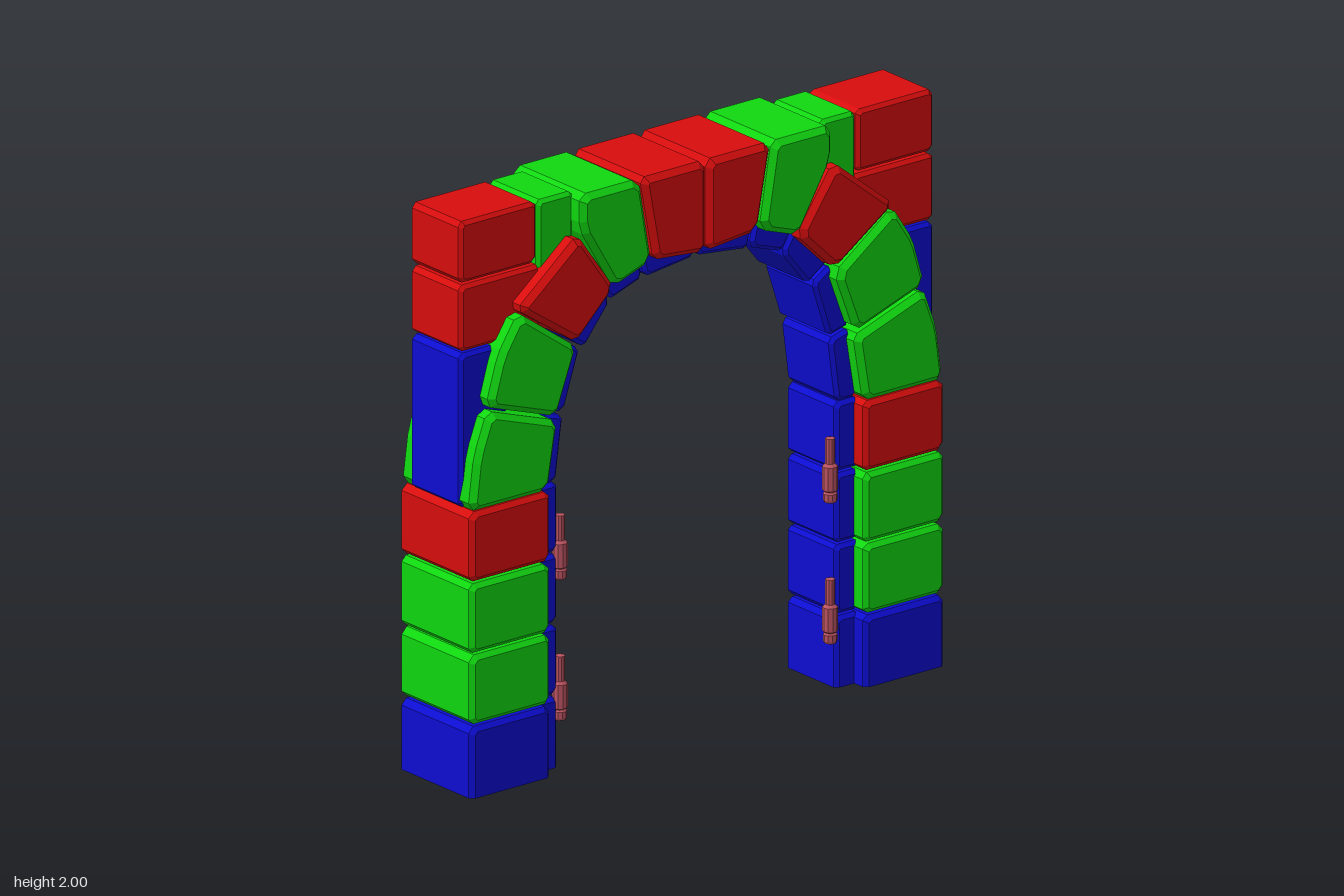
import * as THREE from 'three';

const mat = (name, color) => new THREE.MeshStandardMaterial({ name, color, flatShading: true });

export function createModel() {
  const red = mat('red stone', 0xd80d0d);
  const green = mat('green stone', 0x10d810);
  const blue = mat('blue stone', 0x0d0dd2);
  const pink = mat('pink metal', 0xbc5462);
  const arch = new THREE.Group();
  arch.name = 'stoneArch';

  let seed = 7;
  const rand = () => (seed = (seed * 16807) % 2147483647) / 2147483647;

  // Cut every corner of a [z, y] outline by a slightly uneven amount, like worn stone
  function wornOutline(points, cut) {
    const out = [];
    points.forEach(([z, y], i) => {
      const p = new THREE.Vector2(-z, y);
      const n = points.length;
      for (const j of [(i + n - 1) % n, (i + 1) % n]) {
        const d = new THREE.Vector2(-points[j][0], points[j][1]).sub(p);
        const step = Math.min(cut * (0.85 + 0.5 * rand()), d.length() * 0.35);
        out.push(p.clone().addScaledVector(d.normalize(), step));
      }
    });
    return new THREE.Shape(out);
  }

  // Bevelled stone: a [z, y] outline running across x from -half to +half
  function stone(name, points, half, material, bevel, side) {
    const outline = points.map(([z, y]) => [z * side, y]);
    const geo = new THREE.ExtrudeGeometry(wornOutline(outline, bevel * 1.1), {
      depth: 2 * (half - bevel), bevelEnabled: true, bevelSegments: 1,
      bevelSize: bevel, bevelThickness: bevel, bevelOffset: -bevel,
    });
    geo.translate(0, 0, -(half - bevel));
    geo.rotateY(Math.PI / 2);
    // The lowest stones are cut flat on the ground
    const pos = geo.attributes.position;
    for (let i = 0; i < pos.count; i++) pos.setY(i, Math.max(0, pos.getY(i)));
    geo.computeVertexNormals();
    const mesh = new THREE.Mesh(geo, material);
    mesh.name = name;
    arch.add(mesh);
  }

  const box = (z0, z1, y0, y1) => [[z0, y0], [z1, y0], [z1, y1], [z0, y1]];
  const WIDE = 0.19, NARROW = 0.132;

  // Courses of the straight piers: bottom, top, colour
  const courses = [
    [-0.05, 0.247, blue], [0.255, 0.497, green], [0.505, 0.747, green], [0.755, 0.998, red],
  ];

  // Wedge stones of the arch, from the springing to the crown
  const wedges = [
    [[[1, 1], [0.665, 1], [0.625, 1.235], [0.92, 1.335], [0.975, 1.19]], green],
    [[[0.925, 1.35], [0.63, 1.25], [0.545, 1.475], [0.79, 1.65], [0.875, 1.52]], green],
    [[[0.795, 1.66], [0.545, 1.49], [0.385, 1.645], [0.54, 1.865]], red],
    [[[0.53, 1.88], [0.39, 1.645], [0.228, 1.7], [0.28, 2], [0.53, 2]], green],
    [[[0.275, 2], [0.218, 1.7], [0.002, 1.68], [0.002, 2]], red],
  ];

  // Narrow lining stones under the arch
  const lining = [
    [[0.68, 1], [0.59, 1], [0.56, 1.225], [0.65, 1.25]],
    [[0.65, 1.26], [0.557, 1.235], [0.49, 1.44], [0.57, 1.49]],
    [[0.57, 1.51], [0.47, 1.44], [0.362, 1.575], [0.42, 1.67]],
    [[0.42, 1.68], [0.365, 1.58], [0.225, 1.627], [0.25, 1.73]],
    [[0.24, 1.73], [0.218, 1.625], [0.003, 1.65], [0.003, 1.73]],
  ];

  // Narrow stones filling the square corner
  const fillers = [
    ['cornerPost', [[1, 1], [0.82, 1], [0.78, 1.538], [1, 1.538]], blue],
    ['cornerStone', box(0.66, 1, 1.545, 1.777), red],
    ['cornerCap', box(0.675, 1, 1.785, 2), red],
    ['cornerFiller', box(0.52, 0.672, 1.72, 2), green],
  ];

  // Hinge pin profile: radius, height
  const hingeGeo = new THREE.LatheGeometry([
    [0, 0], [0.02, 0], [0.024, 0.008], [0.024, 0.03], [0.018, 0.036], [0.026, 0.042],
    [0.026, 0.125], [0.016, 0.135], [0.016, 0.222], [0, 0.222],
  ].map(([r, y]) => new THREE.Vector2(r, y)), 10);

  for (const side of [1, -1]) {
    const end = side > 0 ? 'front' : 'back';
    courses.forEach(([y0, y1, material], i) => {
      stone(`${end}PierStone${i + 1}`, box(0.662, 1, y0, y1), WIDE, material, 0.016, side);
      stone(`${end}PierLining${i + 1}`, box(0.585, 0.69, y0, y1), NARROW, blue, 0.014, side);
    });
    wedges.forEach(([points, material], i) =>
      stone(`${end}ArchStone${i + 1}`, points, WIDE, material, 0.02, side));
    lining.forEach((points, i) =>
      stone(`${end}ArchLining${i + 1}`, points, NARROW, blue, 0.013, side));
    fillers.forEach(([name, points, material]) =>
      stone(end + name[0].toUpperCase() + name.slice(1), points, NARROW, material, 0.013, side));

    // Two hinge pins near one edge of the lining
    for (const y of [0.162, 0.655]) {
      const hinge = new THREE.Mesh(hingeGeo, pink);
      hinge.name = `${end}Hinge`;
      hinge.position.set(0.12, y, 0.57 * side);
      arch.add(hinge);
    }
  }
  return arch;
}
